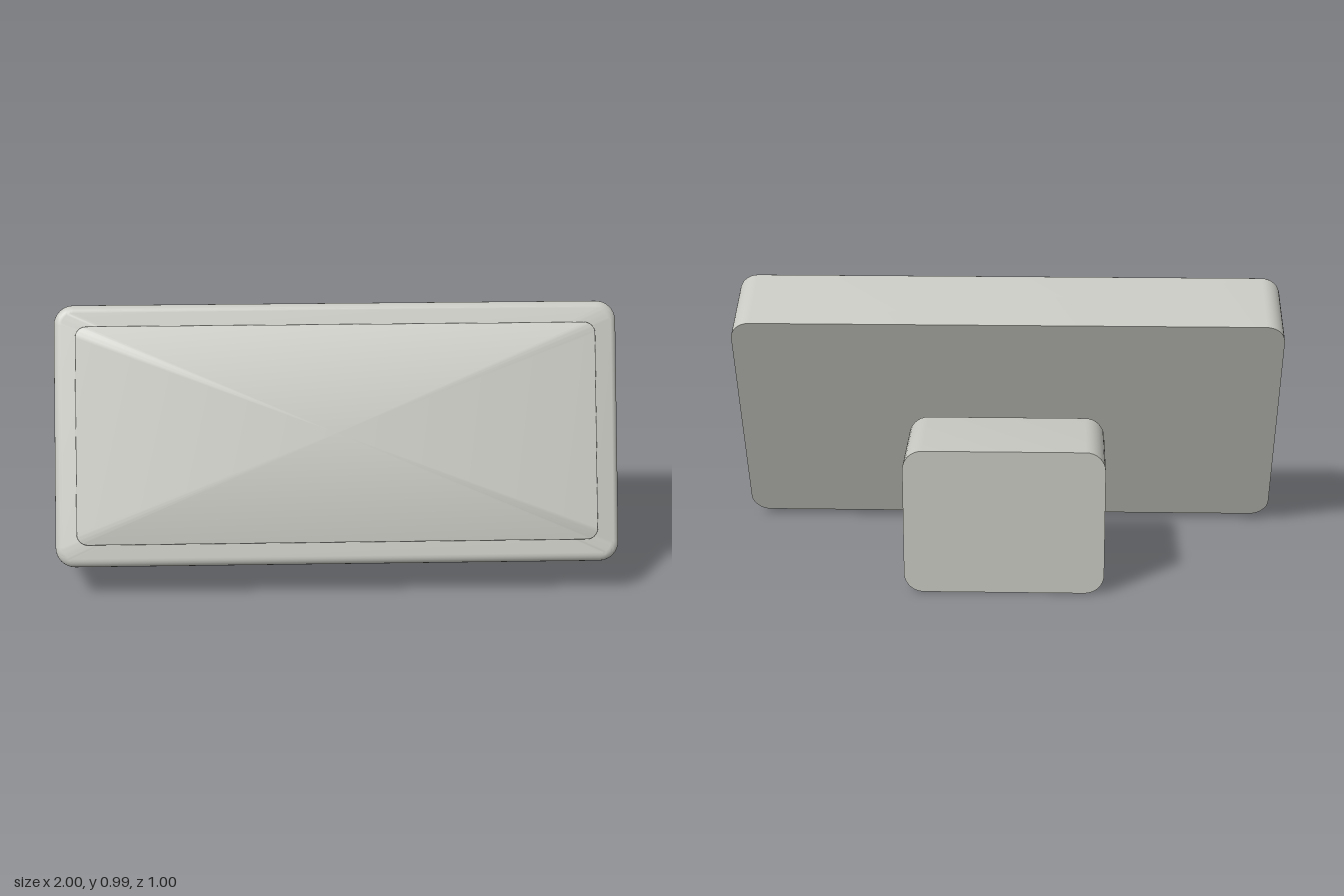
import * as THREE from 'three';
import { toCreasedNormals } from 'three/addons/utils/BufferGeometryUtils.js';

// Rounded rectangle slab: flat back at z = 0, softened front edge at z = depth.
function slab(width, height, depth, radius, bevel) {
  const cornerSteps = 8, bevelSteps = 5;
  const layers = [[0, 0]];
  for (let i = 0; i <= bevelSteps; i++) {
    const a = (i / bevelSteps) * Math.PI / 2;
    layers.push([bevel * (1 - Math.cos(a)), depth - bevel * (1 - Math.sin(a))]);
  }
  const count = 4 * (cornerSteps + 1);
  const positions = [], index = [];
  for (const [inset, z] of layers) {
    for (let c = 0; c < 4; c++) {
      const cx = (c === 0 || c === 3 ? 1 : -1) * (width / 2 - radius);
      const cy = (c < 2 ? 1 : -1) * (height / 2 - radius);
      for (let s = 0; s <= cornerSteps; s++) {
        const a = (c + s / cornerSteps) * Math.PI / 2;
        positions.push(cx + (radius - inset) * Math.cos(a), cy + (radius - inset) * Math.sin(a), z);
      }
    }
  }
  for (let l = 0; l < layers.length - 1; l++) {
    for (let i = 0; i < count; i++) {
      const a = l * count + i, b = l * count + (i + 1) % count;
      index.push(a, b, b + count, a, b + count, a + count);
    }
  }
  // End caps
  const back = positions.length / 3, front = back + 1;
  positions.push(0, 0, 0, 0, 0, depth);
  const last = (layers.length - 1) * count;
  for (let i = 0; i < count; i++) {
    const j = (i + 1) % count;
    index.push(back, j, i, front, last + i, last + j);
  }
  const geometry = new THREE.BufferGeometry();
  geometry.setAttribute('position', new THREE.Float32BufferAttribute(positions, 3));
  geometry.setIndex(index);
  return toCreasedNormals(geometry, Math.PI / 6);
}

export function createModel() {
  const model = new THREE.Group();
  model.name = 'tiltedPanelOnMount';
  const grey = new THREE.MeshStandardMaterial({ color: 0xc8c8c2 });
  grey.name = 'warm grey';

  const add = (parent, name, geometry, x, y, z) => {
    const mesh = new THREE.Mesh(geometry, grey);
    mesh.name = name;
    mesh.position.set(x, y, z);
    parent.add(mesh);
  };

  // Tilted housing with its raised face plate
  const panel = new THREE.Group();
  panel.name = 'panel';
  panel.position.set(0, 0.45, 0.045);
  panel.rotation.x = -THREE.MathUtils.degToRad(22.1);
  add(panel, 'housing', slab(2, 0.928, 0.308, 0.07, 0.03), 0, 0, 0);
  add(panel, 'facePlate', slab(1.845, 0.772, 0.009, 0.04, 0.003), 0, 0, 0.307);
  model.add(panel);

  // Rear mount block and the smaller boss on its front
  add(model, 'mountBlock', slab(0.71, 0.533, 0.376, 0.07, 0.02), 0, 0.267, -0.5);
  add(model, 'mountBoss', slab(0.46, 0.308, 0.068, 0.05, 0.02), 0, 0.268, -0.125);

  return model;
}
